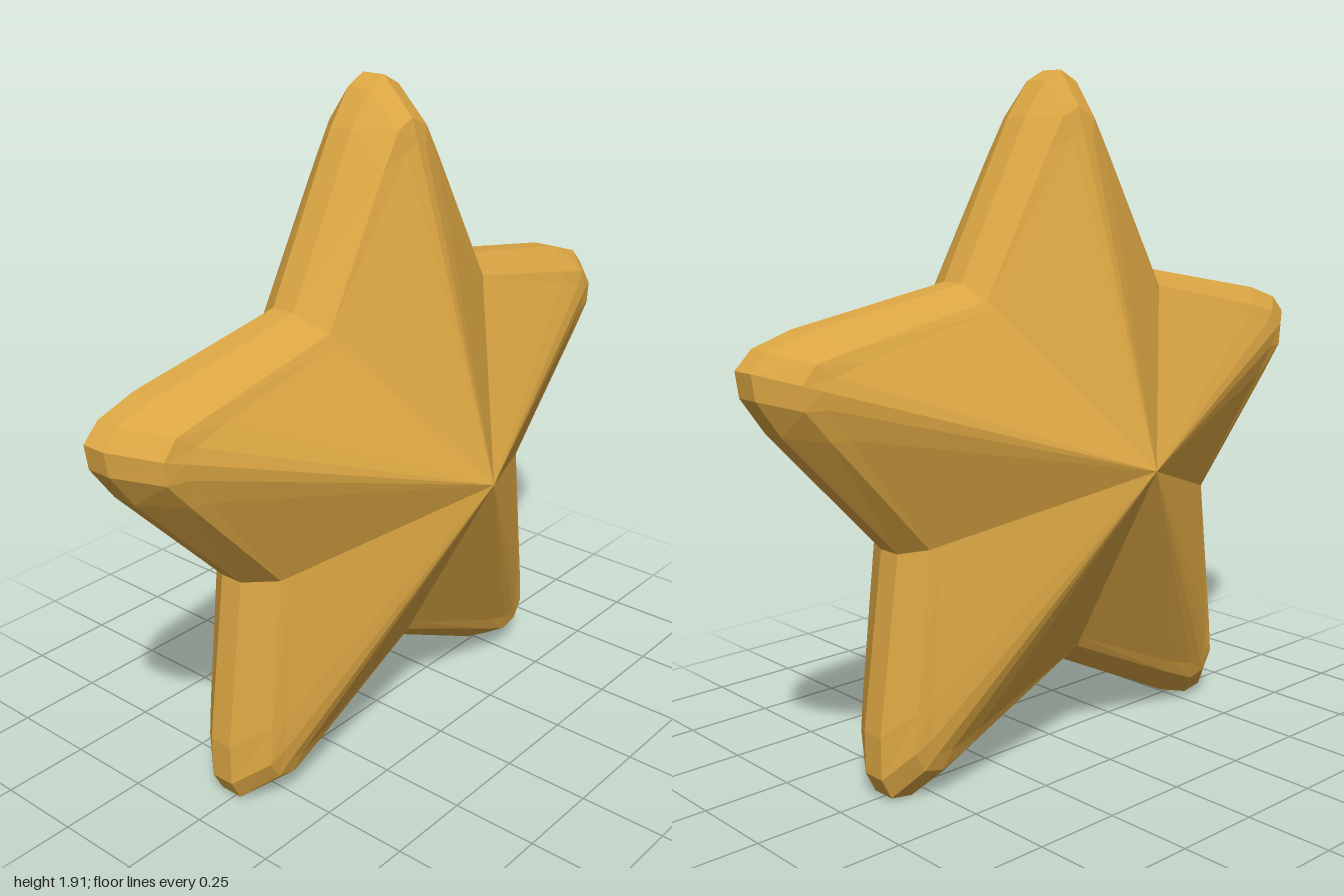
import * as THREE from 'three';

const CENTRE_Y = 0.865;
const ARMS = 5;

// Half-arm sections as [distance along arm, sideways offset]: tip, two rounding points, notch
const RIM = [[1.05, 0], [1.02, 0.06], [0.925, 0.13], [0.495, 0.36]];
const CREASE = [[0.95, 0], [0.925, 0.058], [0.83, 0.115], [0.452, 0.328]];
const INSET = [[0.895, 0], [0.87, 0.04], [0.79, 0.098], [0.428, 0.311]];

// Mirrors a half arm and repeats it round the centre, counter-clockwise from the front
function starLoop([tip, near, far, notch], z) {
  const mirror = ([r, s]) => [r, -s];
  const arm = [mirror(far), mirror(near), tip, near, far, notch];
  const loop = [];
  for (let i = 0; i < ARMS; i++) {
    const a = Math.PI / 2 + (i * 2 * Math.PI) / ARMS;
    const c = Math.cos(a), s = Math.sin(a);
    for (const [r, t] of arm) loop.push([r * c - t * s, r * s + t * c, z]);
  }
  return loop;
}

// Skins the loops from front to back and closes both ends with a point
function skin(loops, frontApex, backApex) {
  const pos = [];
  const tri = (a, b, c) => pos.push(...a, ...b, ...c);
  const n = loops[0].length;
  const last = loops[loops.length - 1];
  for (let i = 0; i < n; i++) {
    const j = (i + 1) % n;
    tri(frontApex, loops[0][i], loops[0][j]);
    for (let k = 0; k < loops.length - 1; k++) {
      const p = loops[k], q = loops[k + 1];
      tri(p[i], q[i], q[j]);
      tri(p[i], q[j], p[j]);
    }
    tri(backApex, last[j], last[i]);
  }
  const geometry = new THREE.BufferGeometry();
  geometry.setAttribute('position', new THREE.Float32BufferAttribute(pos, 3));
  geometry.computeVertexNormals();
  return geometry;
}

export function createModel() {
  const group = new THREE.Group();
  group.name = 'star';

  const gold = new THREE.MeshStandardMaterial({ color: 0xdba643 });
  gold.name = 'gold';

  // Faceted body: pointed faces, narrow inset border, bevels and a flat rim
  const body = new THREE.Mesh(
    skin(
      [
        starLoop(INSET, 0.136),
        starLoop(CREASE, 0.121),
        starLoop(RIM, 0.025),
        starLoop(RIM, -0.045),
        starLoop(CREASE, -0.114),
        starLoop(INSET, -0.13),
      ],
      [0, 0, 0.413],
      [0, 0, -0.413]
    ),
    gold
  );
  body.name = 'starBody';
  body.position.y = CENTRE_Y;
  group.add(body);

  return group;
}
